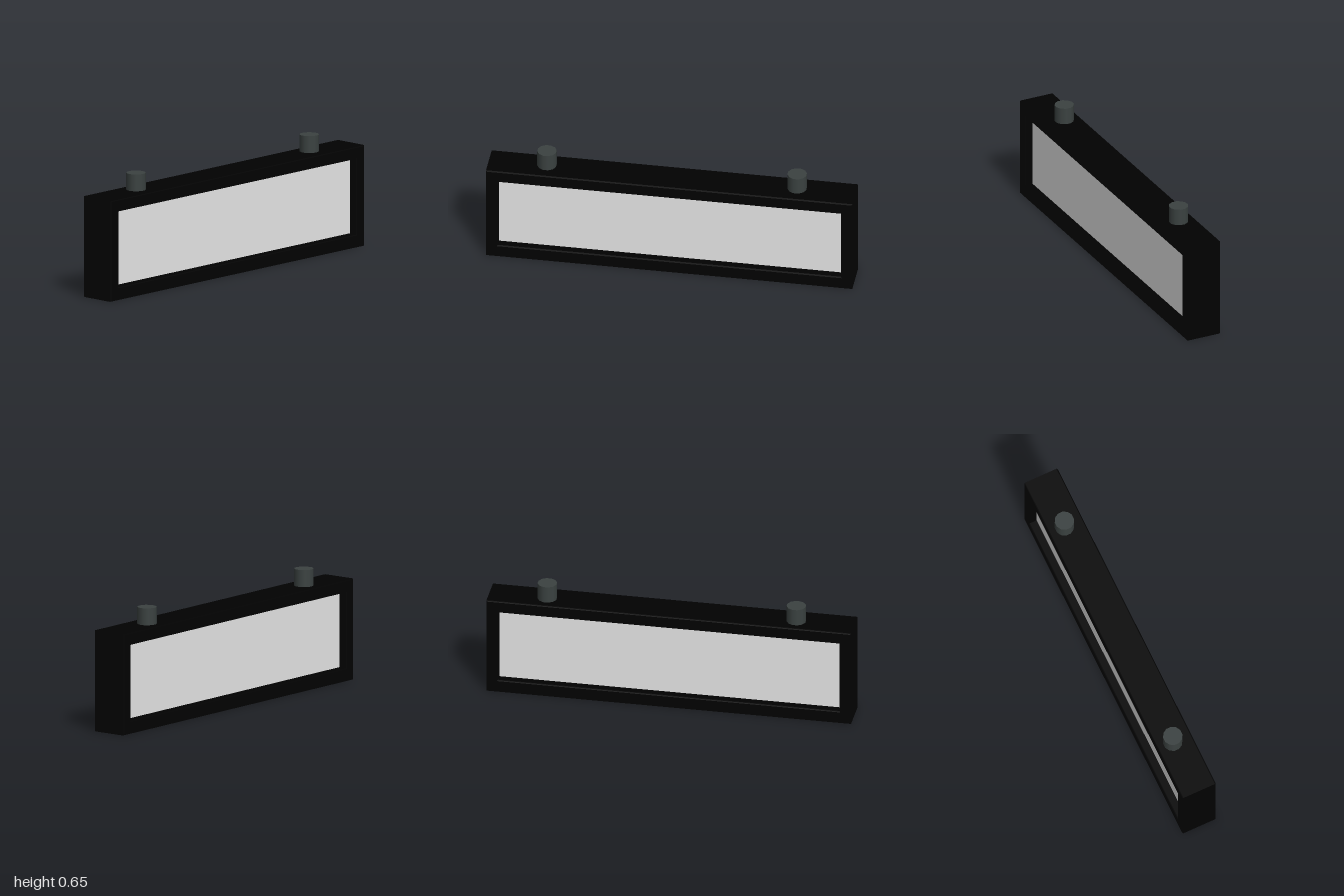
import * as THREE from 'three';

const HEIGHT = 0.556, DEPTH = 0.2, BEVEL = 0.006;
const OPENING = { x: 0.937, bottom: 0.073, top: 0.488 };
const RECESS = 0.046; // how far the panels sit behind the frame faces

function material(name, color) {
  const m = new THREE.MeshStandardMaterial({ color });
  m.name = name;
  return m;
}

function rectangle(path, x, bottom, top) {
  path.moveTo(-x, bottom);
  path.lineTo(x, bottom);
  path.lineTo(x, top);
  path.lineTo(-x, top);
  path.closePath();
  return path;
}

export function createModel() {
  const model = new THREE.Group();
  model.name = 'hangingLightbox';
  const black = material('black casing', 0x010101);
  const grey = material('dark grey metal', 0x3b4241);
  const pale = material('pale panel', 0xe7e7e7);

  const add = (name, geometry, mat, x, y, z) => {
    const mesh = new THREE.Mesh(geometry, mat);
    mesh.name = name;
    mesh.position.set(x, y, z);
    model.add(mesh);
    return mesh;
  };

  // Deep frame, open at front and back, with small bevels
  const outline = rectangle(new THREE.Shape(), 1, 0, HEIGHT);
  outline.holes.push(rectangle(new THREE.Path(), OPENING.x, OPENING.bottom, OPENING.top));
  const frame = new THREE.ExtrudeGeometry(outline, {
    depth: DEPTH - 2 * BEVEL,
    bevelThickness: BEVEL,
    bevelSize: BEVEL,
    bevelOffset: -BEVEL,
    bevelSegments: 2,
  });
  add('frame', frame, black, 0, 0, BEVEL - DEPTH / 2);

  // Display panels recessed into both openings
  const panel = new THREE.PlaneGeometry(2 * OPENING.x, OPENING.top - OPENING.bottom);
  const panelY = (OPENING.top + OPENING.bottom) / 2;
  add('frontPanel', panel, pale, 0, panelY, DEPTH / 2 - RECESS);
  add('backPanel', panel, pale, 0, panelY, RECESS - DEPTH / 2).rotation.y = Math.PI;

  // Mounting pegs on top
  const peg = new THREE.CylinderGeometry(0.053, 0.053, 0.104, 12);
  peg.rotateY(Math.PI / 12);
  add('rightPeg', peg, grey, -0.684, 0.597, -0.009);
  add('leftPeg', peg, grey, 0.682, 0.597, -0.009);

  return model;
}
